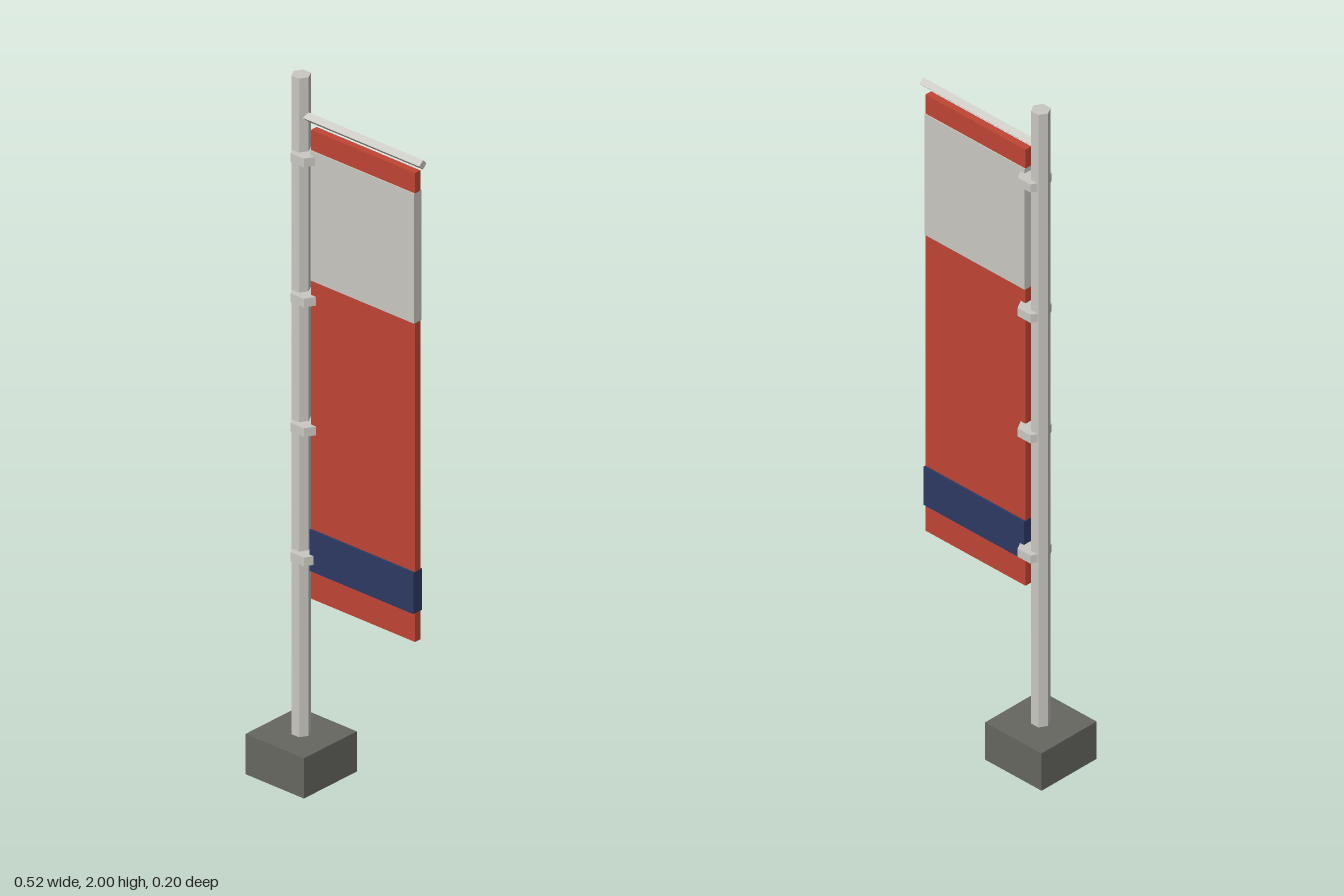
import * as THREE from 'three';

const mat = (name, color) => {
  const m = new THREE.MeshStandardMaterial({ color });
  m.name = name;
  return m;
};

export function createModel() {
  const group = new THREE.Group();
  const metal = mat('paleGrey', 0xcac8c2);
  const red = mat('red', 0xc04534);
  const navy = mat('navy', 0x2c3963);
  const stone = mat('darkGrey', 0x666760);

  const add = (name, geometry, material, x, y) => {
    const mesh = new THREE.Mesh(geometry, material);
    mesh.name = name;
    mesh.position.set(x, y, 0);
    group.add(mesh);
  };

  // Upright prism with flat facets; six sides point along x
  const prism = (radius, height, sides) =>
    new THREE.CylinderGeometry(radius, radius, height, sides).rotateY(Math.PI / 6).toNonIndexed();
  const flat = (geometry) => { geometry.computeVertexNormals(); return geometry; };

  // Base block and pole
  const baseHeight = 0.115, poleX = -0.159;
  add('base', new THREE.BoxGeometry(0.2, baseHeight, 0.2), stone, poleX, baseHeight / 2);
  add('pole', flat(prism(0.026, 2 - baseHeight, 6)), metal, poleX, 1 + baseHeight / 2);

  // Top arm, four-sided with a ridge upward
  const armLength = 0.258 - poleX;
  const arm = new THREE.CylinderGeometry(0.0135, 0.0135, armLength, 4).rotateZ(Math.PI / 2).toNonIndexed();
  add('topArm', flat(arm), metal, poleX + armLength / 2, 1.886);

  // Clips holding the banner to the pole
  for (const y of [1.776, 1.375, 1.004, 0.634]) {
    add('clip', flat(prism(0.045, 0.025, 6)), metal, -0.137, y);
  }

  // Banner bands: name, bottom, top, thickness, material
  const bands = [
    ['bannerHem', 0.518, 0.6, 0.021, red],
    ['bannerStripe', 0.6, 0.718, 0.033, navy],
    ['bannerCloth', 0.718, 1.43, 0.021, red],
    ['bannerPanel', 1.43, 1.802, 0.027, metal],
    ['bannerTop', 1.802, 1.86, 0.021, red],
  ];
  for (const [name, y0, y1, depth, material] of bands) {
    add(name, new THREE.BoxGeometry(0.355, y1 - y0, depth), material, 0.0625, (y0 + y1) / 2);
  }
  return group;
}
